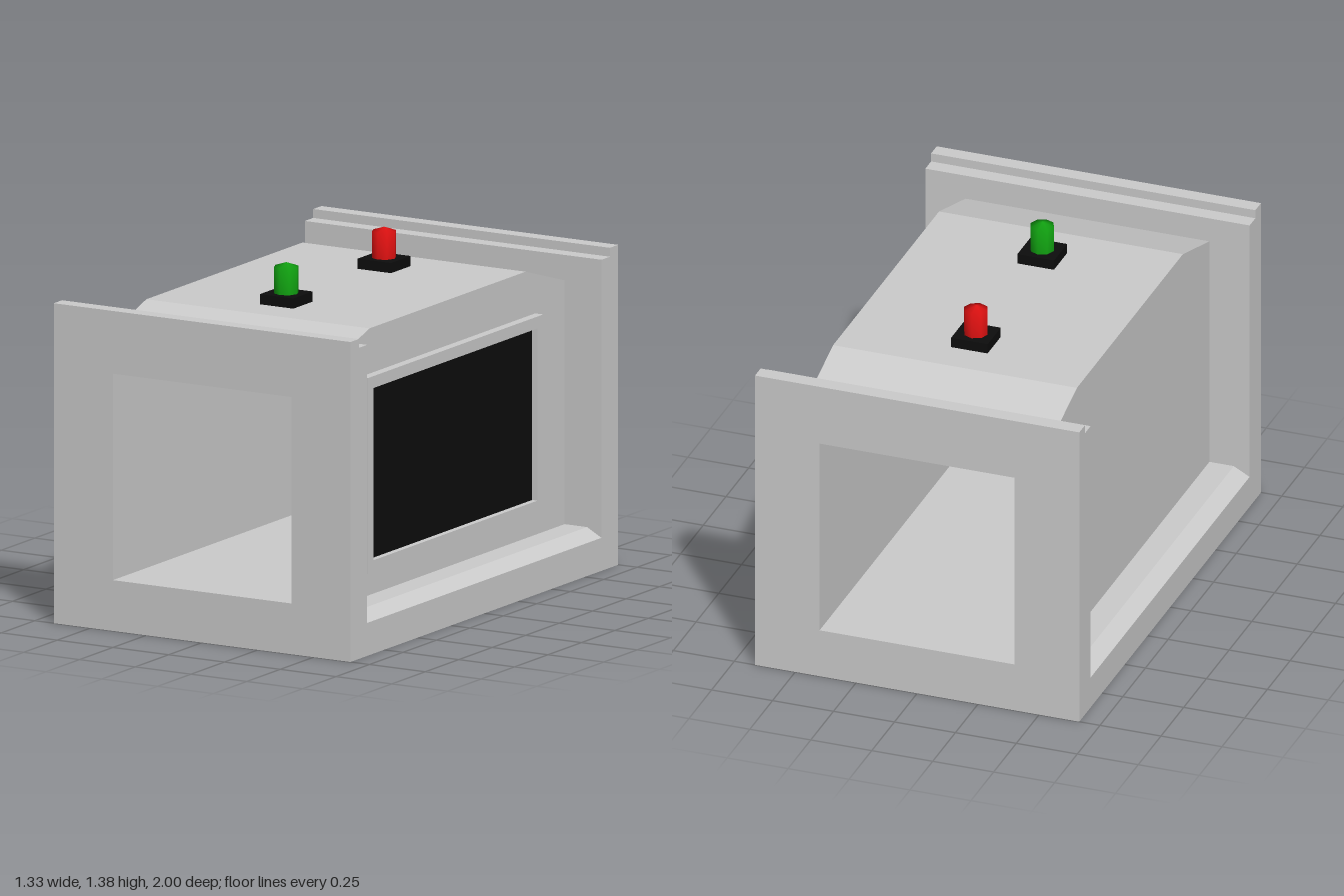
import * as THREE from 'three';

const material = (color) => new THREE.MeshStandardMaterial({ color, flatShading: true });
const grey = material(0xcccccc);
const black = material(0x0d0d0d);

function polygon(points) {
  return new THREE.Shape(points.map(([x, y]) => new THREE.Vector2(x, y)));
}

function rectangle(x0, y0, x1, y1) {
  return polygon([[x0, y0], [x1, y0], [x1, y1], [x0, y1]]);
}

// Extrudes a shape along z, starting at z0
function extrude(shape, z0, depth) {
  return new THREE.ExtrudeGeometry(shape, { depth, bevelEnabled: false }).translate(0, 0, z0);
}

function withTunnel(shape) {
  shape.holes.push(rectangle(-0.4, 0.2, 0.4, 1.013));
  return shape;
}

export function createModel() {
  const group = new THREE.Group();
  const add = (name, geometry, mat = grey, parent = group) => {
    const mesh = new THREE.Mesh(geometry, mat);
    mesh.name = name;
    parent.add(mesh);
    return mesh;
  };

  // Body with side ledges, sloped at their outer edge, and a square tunnel
  const half = [[0.665, 0], [0.665, 0.13], [0.6, 0.165], [0.5, 0.165], [0.5, 1.125]];
  const mirrored = half.map(([x, y]) => [-x, y]).reverse();
  add('body', extrude(withTunnel(polygon([...half, ...mirrored])), -0.875, 1.75));

  // Roof sloping down to both ends
  const roof = polygon([[-0.875, 1.125], [0.875, 1.125], [0.583, 1.215], [-0.583, 1.215]]);
  add('roof', extrude(roof, -0.5, 1).rotateY(Math.PI / 2));

  // End frames: a lower inner layer and a taller outer lip
  for (const [end, side] of [['front', 1], ['back', -1]]) {
    for (const [layer, height, near, far] of [['Frame', 1.225, 0.875, 0.938], ['Lip', 1.26, 0.938, 1]]) {
      const shape = withTunnel(rectangle(-0.665, 0, 0.665, height));
      add(end + layer, extrude(shape, side > 0 ? near : -far, far - near));
    }
  }

  // Screen on the left side, set back in a raised frame
  const border = rectangle(-0.655, 0.265, 0.655, 1.037);
  border.holes.push(rectangle(-0.612, 0.312, 0.612, 0.99));
  add('screenFrame', extrude(border, 0.5, 0.036).rotateY(Math.PI / 2));
  add('screen', new THREE.BoxGeometry(0.01, 0.678, 1.224).translate(0.507, 0.651, 0));

  group.getObjectByName('screen').material = black;

  // Signal lamps on square bases
  const bulb = new THREE.LatheGeometry(
    [[0.048, 0], [0.048, 0.105], [0, 0.121]].map(([x, y]) => new THREE.Vector2(x, y)), 8);
  for (const [name, z, color] of [['green', 0.363, 0x11a011], ['red', -0.367, 0xdd1111]]) {
    const lamp = new THREE.Group();
    lamp.name = name + 'Lamp';
    lamp.position.set(-0.005, 1.215, z);
    add(name + 'LampBase', new THREE.BoxGeometry(0.15, 0.04, 0.145).translate(0, 0.02, 0), black, lamp);
    const mat = new THREE.MeshStandardMaterial({ color });
    add(name + 'Bulb', bulb, mat, lamp).position.y = 0.04;
    group.add(lamp);
  }
  return group;
}
